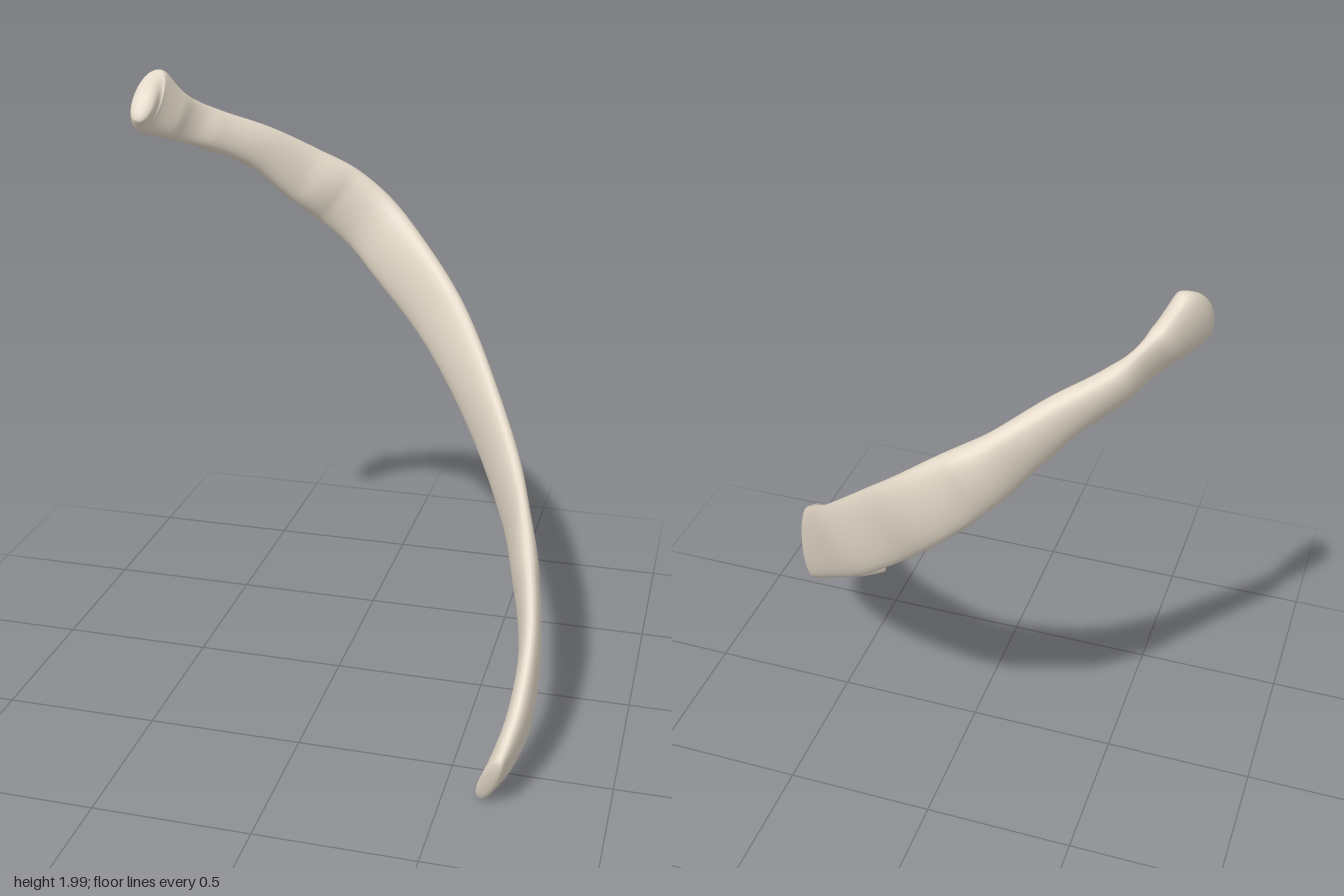
import * as THREE from 'three';

// Stations along the shaft: upper edge xyz, lower edge xyz, thickness
const STATIONS = [
  [0.68, 0.19, 0.72, 0.61, 0.01, 0.65, 0.055],
  [0.695, 0.24, 0.66, 0.655, 0.04, 0.57, 0.07],
  [0.71, 0.31, 0.58, 0.695, 0.11, 0.46, 0.075],
  [0.715, 0.45, 0.43, 0.70, 0.24, 0.30, 0.07],
  [0.685, 0.60, 0.27, 0.655, 0.38, 0.13, 0.075],
  [0.60, 0.80, 0.00, 0.54, 0.59, -0.12, 0.075],
  [0.47, 1.00, -0.24, 0.36, 0.83, -0.37, 0.08],
  [0.30, 1.22, -0.49, 0.15, 1.05, -0.57, 0.085],
  [0.13, 1.40, -0.62, -0.03, 1.22, -0.65, 0.09],
  [0.00, 1.52, -0.685, -0.14, 1.33, -0.68, 0.095],
  [-0.12, 1.61, -0.69, -0.24, 1.42, -0.65, 0.10],
  [-0.25, 1.68, -0.655, -0.33, 1.51, -0.58, 0.10],
  [-0.40, 1.77, -0.56, -0.45, 1.64, -0.49, 0.095],
  [-0.55, 1.84, -0.455, -0.57, 1.72, -0.37, 0.085],
  [-0.63, 1.91, -0.345, -0.66, 1.775, -0.245, 0.085],
  [-0.685, 2.00, -0.27, -0.72, 1.81, -0.165, 0.10],
  [-0.695, 1.96, -0.20, -0.715, 1.85, -0.125, 0.075],
];

const RINGS = 120;
const SIDES = 28;

function createBoneGeometry() {
  const curve = (o) => new THREE.CatmullRomCurve3(
    STATIONS.map((s) => new THREE.Vector3(s[o], s[o + 1], s[o + 2])));
  const upper = curve(0), lower = curve(3);
  const thick = new THREE.CatmullRomCurve3(STATIONS.map((s) => new THREE.Vector3(s[6], 0, 0)));
  const centre = (t) => upper.getPoint(t).add(lower.getPoint(t)).multiplyScalar(0.5);

  const pos = [], idx = [];
  // One flattened oval ring, spanning from the lower to the upper edge
  const addRing = (t, scale, push) => {
    const c = centre(t);
    const tangent = centre(Math.min(1, t + 0.01)).sub(centre(Math.max(0, t - 0.01))).normalize();
    const w = upper.getPoint(t).sub(c);
    const n = tangent.clone().cross(w).normalize().multiplyScalar(thick.getPoint(t).x / 2);
    c.addScaledVector(tangent, push);
    for (let j = 0; j < SIDES; j++) {
      const a = (j / SIDES) * Math.PI * 2;
      const ca = Math.cos(a), sa = Math.sin(a);
      const p = c.clone()
        .addScaledVector(w, ca * scale)
        .addScaledVector(n, Math.sign(sa) * Math.abs(sa) ** 0.85 * scale);
      pos.push(p.x, p.y, p.z);
    }
  };

  // Rounded end rings close the tip and the head
  addRing(0, 0.001, -0.012);
  addRing(0, 0.55, -0.011);
  addRing(0, 0.88, -0.007);
  for (let i = 0; i <= RINGS; i++) addRing(i / RINGS, 1, 0);
  addRing(1, 0.85, 0.008);
  addRing(1, 0.5, 0.014);
  addRing(1, 0.001, 0.016);

  const count = pos.length / 3 / SIDES;
  for (let i = 0; i < count - 1; i++) {
    for (let j = 0; j < SIDES; j++) {
      const k = (j + 1) % SIDES;
      const a = i * SIDES + j, b = i * SIDES + k;
      idx.push(a, b, a + SIDES, b, b + SIDES, a + SIDES);
    }
  }
  const geo = new THREE.BufferGeometry();
  geo.setAttribute('position', new THREE.Float32BufferAttribute(pos, 3));
  geo.setIndex(idx);
  geo.computeVertexNormals();
  return geo;
}

export function createModel() {
  const group = new THREE.Group();
  group.name = 'rib';
  const bone = new THREE.Mesh(
    createBoneGeometry(),
    new THREE.MeshStandardMaterial({ color: 0xe3d8c8 }));
  bone.name = 'ribBone';
  group.add(bone);
  return group;
}
